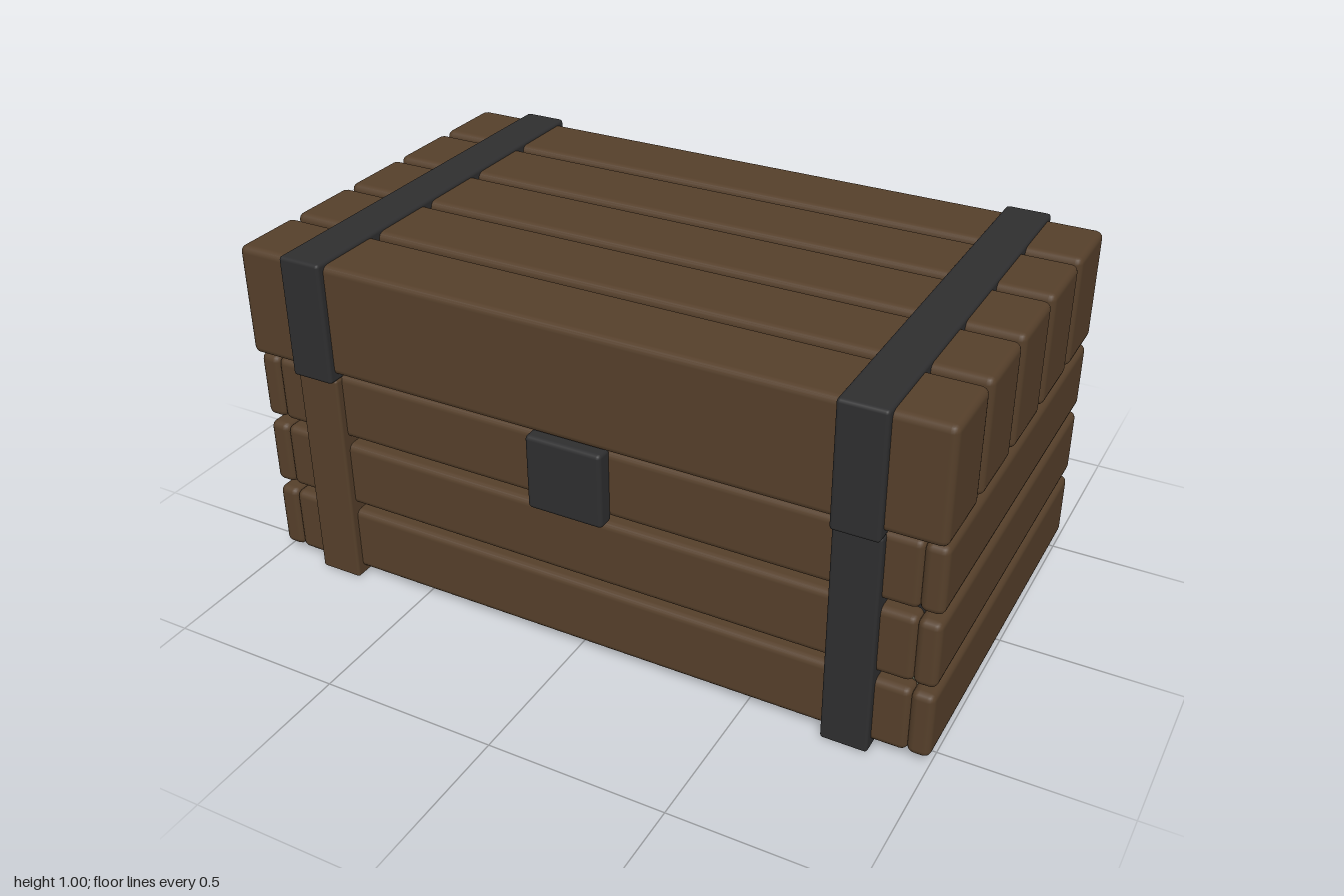
import * as THREE from 'three';
import { RoundedBoxGeometry } from 'three/addons/geometries/RoundedBoxGeometry.js';

function material(name, color) {
  const m = new THREE.MeshStandardMaterial({ color });
  m.name = name;
  return m;
}

export function createModel() {
  const wood = material('brown wood', 0x553f2a);
  const iron = material('dark iron', 0x2e2e2f);
  const weathered = material('weathered grey wood', 0x525343);
  const chest = new THREE.Group();
  chest.name = 'chest';

  // Rounded box given by its min and max on each axis
  function block(name, [x0, x1], [y0, y1], [z0, z1], mat, radius = 0.02) {
    const geo = new RoundedBoxGeometry(x1 - x0, y1 - y0, z1 - z0, 2, radius);
    const mesh = new THREE.Mesh(geo, mat);
    mesh.name = name;
    mesh.position.set((x0 + x1) / 2, (y0 + y1) / 2, (z0 + z1) / 2);
    chest.add(mesh);
  }

  // Wall planks in three courses, with open gaps between them
  [0.025, 0.243, 0.461].forEach((y, row) => {
    const h = [y, y + 0.195];
    block('frontPlank', [-0.94, 0.94], h, [0.5, 0.563], wood);
    block('backPlank', [-0.94, 0.94], h, [-0.563, -0.5], row === 1 ? weathered : wood);
    block('rightEndPlank', [0.937, 1], h, [-0.563, 0.563], wood);
    block('leftEndPlank', [-1, -0.937], h, [-0.563, 0.563], wood);
  });

  // Floor planks
  for (let i = 0; i < 4; i++) {
    const x = -0.7 + i * 0.467;
    block('floorPlank', [x - 0.225, x + 0.225], [0.016, 0.08], [-0.505, 0.505], i === 3 ? weathered : wood);
  }

  // Lid planks
  for (let i = 0; i < 5; i++) {
    const z = -0.478 + i * 0.239;
    block('lidPlank', [-1, 1], [0.668, 0.99], [z - 0.108, z + 0.108], wood);
  }

  // Straps round the body and lid; face order is +x, -x, +y, -y, +z, -z
  for (const side of [-1, 1]) {
    const x = side * 0.783;
    const span = [x - 0.064, x + 0.064];
    const body = side > 0 ? iron : [wood, wood, wood, iron, wood, wood];
    block('bodyStrap', span, [0.003, 0.65], [-0.586, 0.586], body, 0.008);
    block('lidStrap', span, [0.648, 1], [-0.606, 0.606], [iron, iron, iron, iron, iron, wood], 0.01);
  }

  // Latch plate
  block('latch', [-0.11, 0.11], [0.45, 0.668], [0.555, 0.608], iron, 0.012);

  return chest;
}
